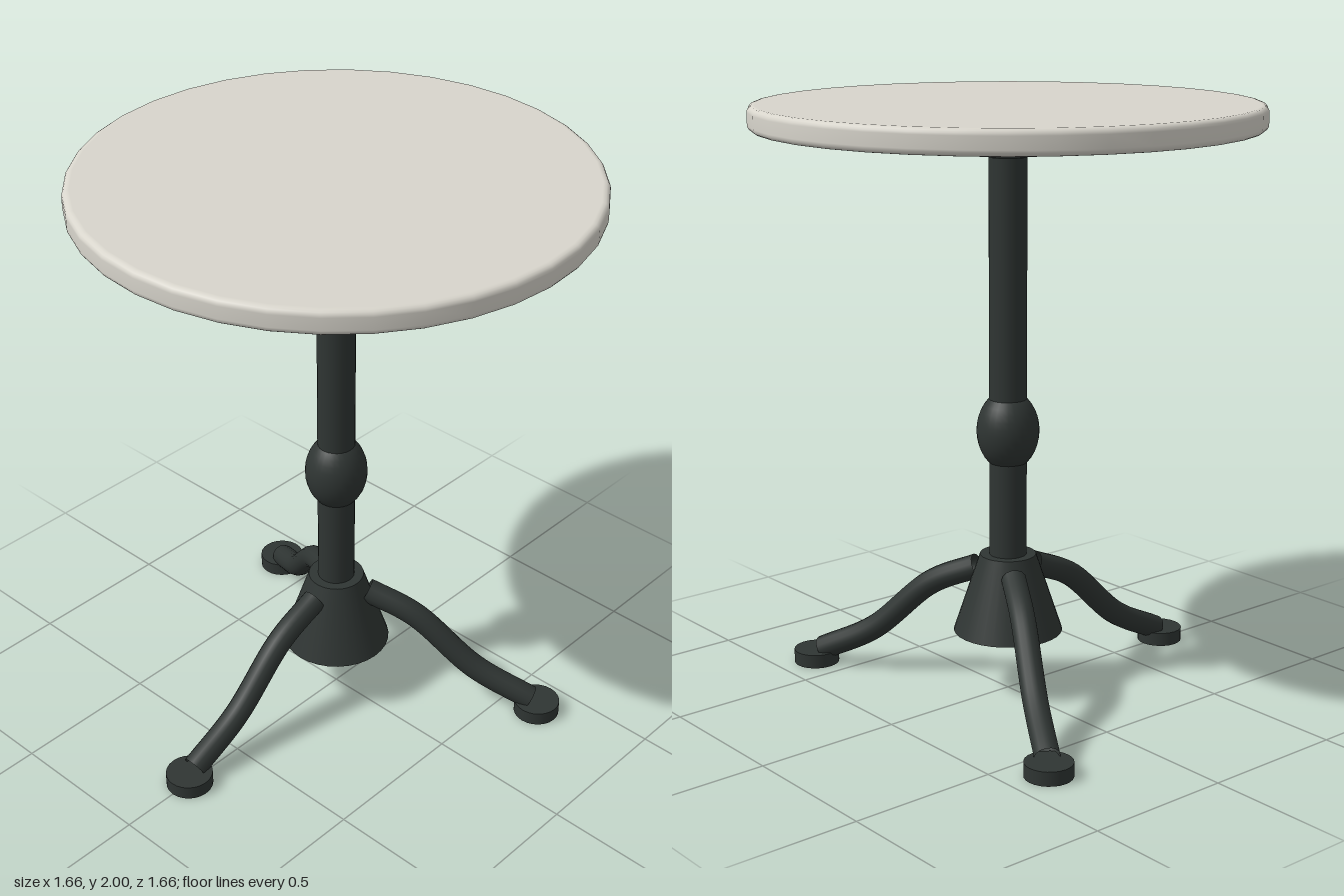
import * as THREE from 'three';

const iron = new THREE.MeshStandardMaterial({ color: 0x2f3533, side: THREE.DoubleSide });
const stone = new THREE.MeshStandardMaterial({ color: 0xd8d5cc });

export function createModel() {
  const model = new THREE.Group();
  model.name = 'pedestalTable';

  const add = (parent, name, geometry, material, y = 0) => {
    const mesh = new THREE.Mesh(geometry, material);
    mesh.name = name;
    mesh.position.y = y;
    parent.add(mesh);
    return mesh;
  };

  // Round top with softened upper and lower rims
  const R = 0.83, bottom = 1.92, top = 2, bevel = 0.02;
  const profile = [new THREE.Vector2(0, bottom), new THREE.Vector2(R - bevel - 0.004, bottom)];
  for (const [cy, from] of [[bottom + bevel, -Math.PI / 2], [top - bevel, 0]]) {
    for (let i = 0; i <= 4; i++) {
      const a = from + (i / 4) * Math.PI / 2;
      profile.push(new THREE.Vector2(R - bevel + Math.cos(a) * bevel, cy + Math.sin(a) * bevel));
    }
  }
  profile.push(new THREE.Vector2(R - bevel - 0.004, top), new THREE.Vector2(0, top));
  add(model, 'tableTop', new THREE.LatheGeometry(profile, 36), stone);

  // Mounting plate, column, bulb and flared hub
  add(model, 'mountingPlate', new THREE.CylinderGeometry(0.185, 0.185, 0.077, 32), iron, 1.882);
  add(model, 'column', new THREE.CylinderGeometry(0.063, 0.063, 1.385, 24), iron, 1.133);
  add(model, 'columnBulb', new THREE.SphereGeometry(0.105, 28, 18), iron, 0.915).scale.y = 1.3;
  add(model, 'hub', new THREE.CylinderGeometry(0.095, 0.185, 0.27, 32), iron, 0.35);

  // Curved leg path, running outward along +z
  const legPath = new THREE.CatmullRomCurve3(
    [[0.11, 0.428], [0.28, 0.35], [0.5, 0.155], [0.7, 0.052]].map(([r, y]) => new THREE.Vector3(0, y, r))
  );
  const legGeometry = new THREE.TubeGeometry(legPath, 28, 0.042, 14);
  const footGeometry = new THREE.CylinderGeometry(0.079, 0.079, 0.048, 24);

  // Sloping support rod, running outward along +z
  const inner = new THREE.Vector3(0, 1.867, 0.1), outer = new THREE.Vector3(0, 1.912, 0.54);
  const rodGeometry = new THREE.CylinderGeometry(0.022, 0.022, inner.distanceTo(outer), 12);

  for (let i = 0; i < 3; i++) {
    const angle = (i * Math.PI * 2) / 3;

    const leg = new THREE.Group();
    leg.name = 'leg';
    leg.rotation.y = angle;
    add(leg, 'legTube', legGeometry, iron);
    add(leg, 'foot', footGeometry, iron, 0.024).position.z = 0.725;
    model.add(leg);

    // Rods sit between the legs
    const support = new THREE.Group();
    support.name = 'topSupport';
    support.rotation.y = angle + Math.PI;
    const rod = add(support, 'supportRod', rodGeometry, iron);
    rod.position.copy(inner).lerp(outer, 0.5);
    rod.quaternion.setFromUnitVectors(new THREE.Vector3(0, 1, 0), outer.clone().sub(inner).normalize());
    model.add(support);
  }

  return model;
}
